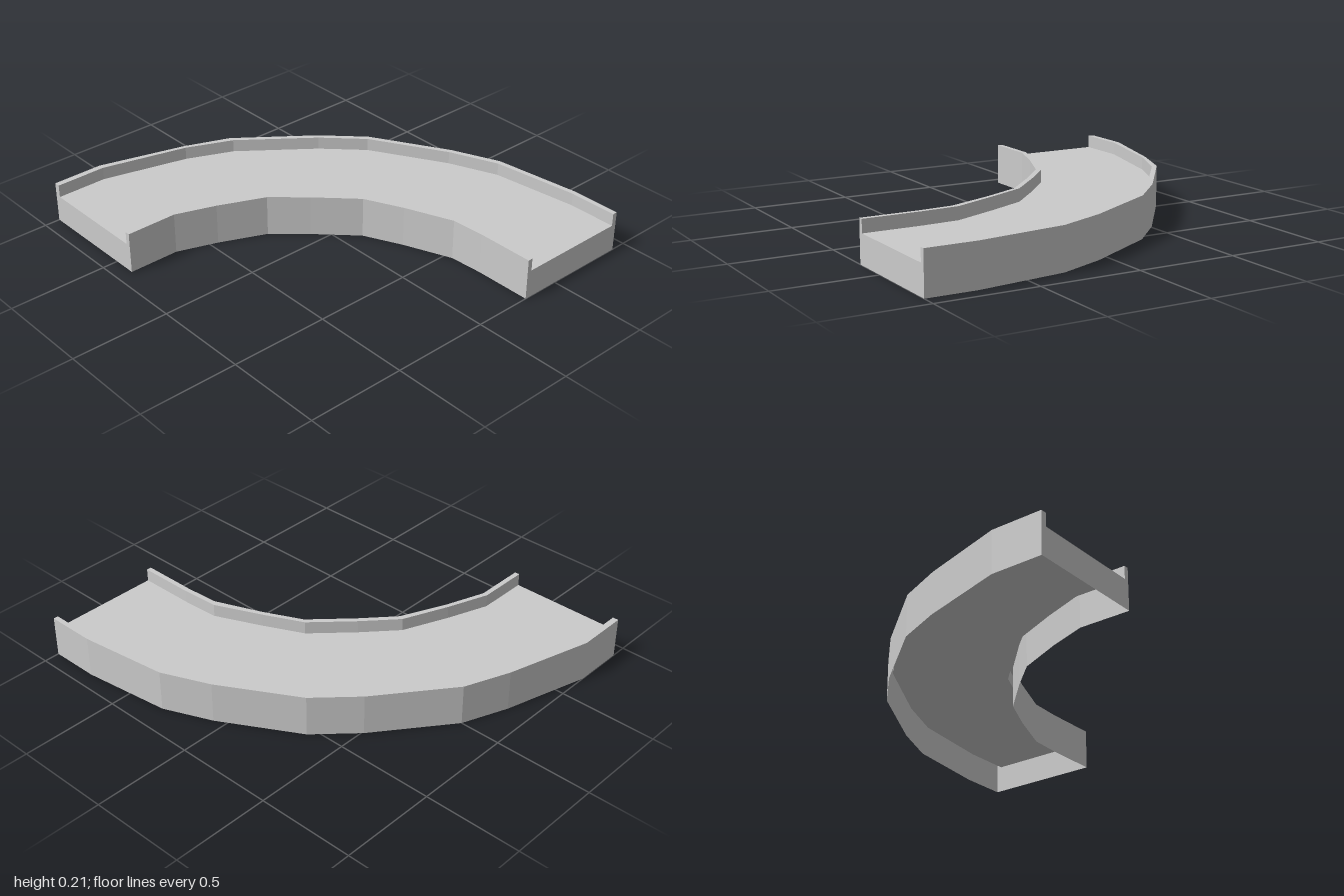
import * as THREE from 'three';

const RIM_Y = 0.21, DECK_Y = 0.145;

// Plan lines [x, z] from the front end round to the left end
const outerFace = [[-1, 0.92], [-1, 0.66], [-0.88, 0.23], [-0.79, 0], [-0.51, -0.36],
  [-0.325, -0.545], [0.06, -0.765], [0.3, -0.865], [0.75, -0.92], [1, -0.92]];
const outerRim = [[-0.97, 0.92], [-0.97, 0.66], [-0.86, 0.23], [-0.76, 0], [-0.49, -0.345],
  [-0.31, -0.525], [0.065, -0.74], [0.31, -0.84], [0.75, -0.895], [1, -0.895]];
const innerRim = [[-0.405, 0.92], [-0.405, 0.66], [-0.33, 0.45], [-0.235, 0.22], [-0.09, 0.06],
  [0.09, -0.12], [0.29, -0.215], [0.52, -0.315], [0.71, -0.325], [1, -0.325]];
const innerFace = [[-0.38, 0.92], [-0.38, 0.66], [-0.31, 0.46], [-0.21, 0.23], [-0.07, 0.075],
  [0.11, -0.105], [0.3, -0.195], [0.54, -0.29], [0.71, -0.3], [1, -0.3]];

// Cross-section from the outer foot, over both rims, to the inner foot
const section = [
  [outerFace, 0], [outerFace, RIM_Y], [outerRim, RIM_Y], [outerRim, DECK_Y],
  [innerRim, DECK_Y], [innerRim, RIM_Y], [innerFace, RIM_Y], [innerFace, 0],
];

const material = new THREE.MeshStandardMaterial({
  color: 0xcccccc, flatShading: true, side: THREE.DoubleSide,
});

// Sweeps a run of neighbouring section points along the bend
function sweep(name, points) {
  const positions = [];
  const at = ([line, y], i) => [line[i][0], y, line[i][1]];
  for (let j = 0; j < points.length - 1; j++) {
    for (let i = 0; i < outerFace.length - 1; i++) {
      const a = at(points[j], i), b = at(points[j + 1], i);
      const c = at(points[j + 1], i + 1), d = at(points[j], i + 1);
      positions.push(...a, ...b, ...c, ...a, ...c, ...d);
    }
  }
  const geometry = new THREE.BufferGeometry();
  geometry.setAttribute('position', new THREE.Float32BufferAttribute(positions, 3));
  geometry.computeVertexNormals();
  const mesh = new THREE.Mesh(geometry, material);
  mesh.name = name;
  return mesh;
}

// U-shaped plate closing one end; across() gives the horizontal coordinate
function endPlate(name, station, across) {
  const shape = new THREE.Shape(
    section.map(([line, y]) => new THREE.Vector2(across(line[station]), y)));
  const mesh = new THREE.Mesh(new THREE.ShapeGeometry(shape), material);
  mesh.name = name;
  return mesh;
}

export function createModel() {
  const group = new THREE.Group();
  group.name = 'curvedTrack';

  // Shell, open underneath
  group.add(sweep('outerWall', section.slice(0, 4)));
  group.add(sweep('deck', section.slice(3, 5)));
  group.add(sweep('innerWall', section.slice(4)));

  const frontEnd = endPlate('frontEnd', 0, ([x]) => x);
  frontEnd.position.z = 0.92;
  group.add(frontEnd);

  const leftEnd = endPlate('leftEnd', outerFace.length - 1, ([, z]) => -z);
  leftEnd.rotation.y = Math.PI / 2;
  leftEnd.position.x = 1;
  group.add(leftEnd);

  return group;
}
